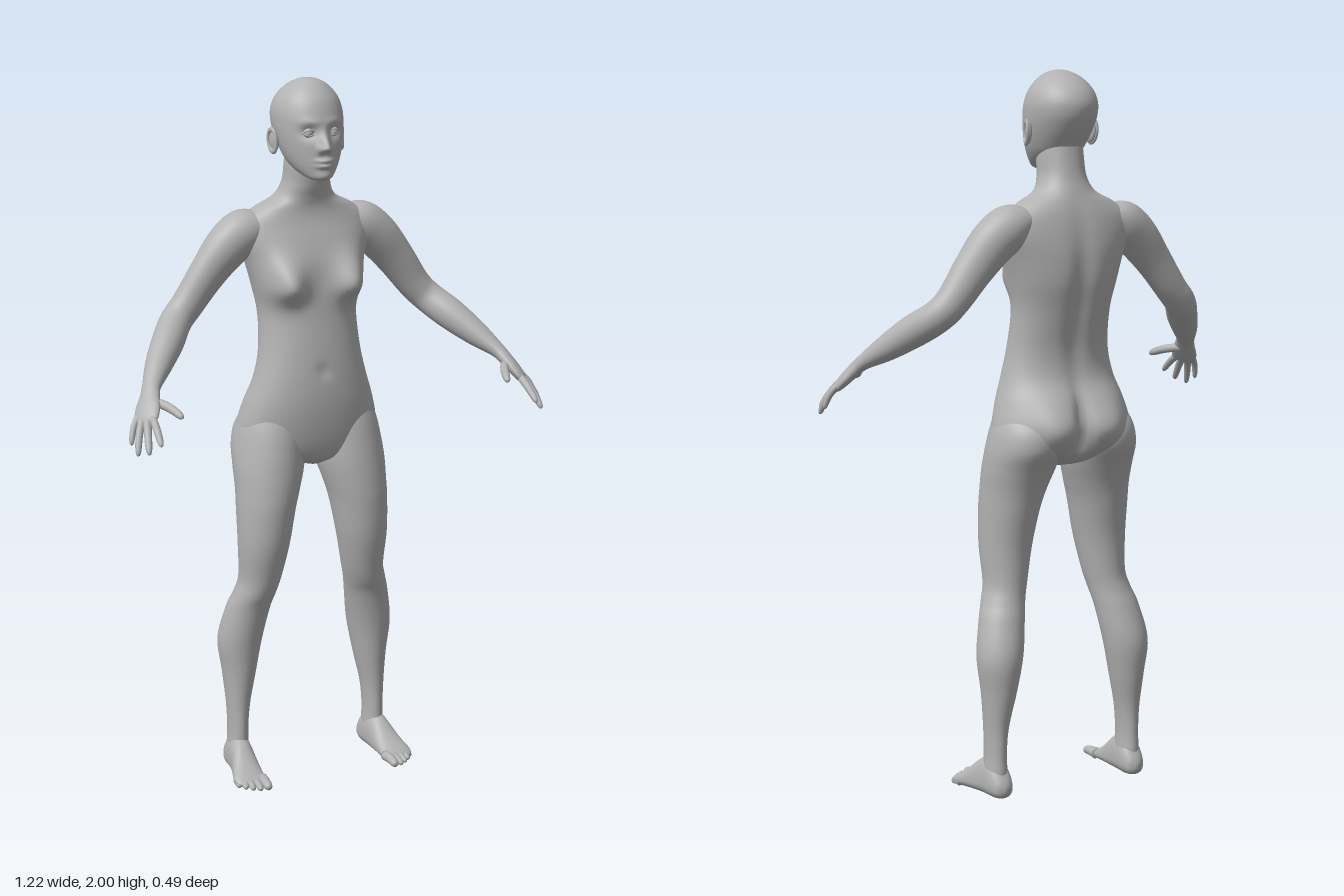
import * as THREE from 'three';

const V = (x, y, z) => new THREE.Vector3(x, y, z);
const skin = new THREE.MeshStandardMaterial({ color: 0xb2b2b2 });
skin.name = 'plain grey';

// Bell curve used for sculpting bumps and hollows
const bell = (d, s) => Math.exp(-(d * d) / (2 * s * s));

// Smooth interpolation through a list of number rows, t in 0..1
function sample(rows, t) {
  const n = rows.length - 1;
  const f = Math.min(Math.max(t, 0), 1) * n;
  const i = Math.min(Math.floor(f), n - 1), u = f - i;
  const at = (k) => rows[Math.min(Math.max(k, 0), n)];
  const [a, b, c, d] = [at(i - 1), at(i), at(i + 1), at(i + 2)];
  return b.map((p, k) => p + 0.5 * u * (c[k] - a[k] + u * (2 * a[k] - 5 * p + 4 * c[k] - d[k]
    + u * (3 * (p - c[k]) + d[k] - a[k]))));
}

// Closed skin over sections [x, y, z, rU, rVplus, rVminus].
// dir fixes the ring plane; otherwise rings follow the path.
function loft(rows, { ref = V(1, 0, 0), dir = null, segs = 32, steps = 48, power = 2, sculpt = null } = {}) {
  const pos = [], index = [], p = V();
  const centre = (t) => V(...sample(rows, t).slice(0, 3));
  const bend = (c) => Math.sign(c) * Math.pow(Math.abs(c), 2 / power);
  for (let i = 0; i <= steps; i++) {
    const t = i / steps, s = sample(rows, t);
    const T = dir ? dir.clone() : centre(t + 0.02).sub(centre(t - 0.02)).normalize();
    const U = ref.clone().addScaledVector(T, -ref.dot(T)).normalize();
    const W = T.clone().cross(U);
    for (let j = 0; j < segs; j++) {
      const a = (j / segs) * Math.PI * 2, sn = bend(Math.sin(a));
      p.set(s[0], s[1], s[2])
        .addScaledVector(U, Math.max(s[3], 0.0005) * bend(Math.cos(a)))
        .addScaledVector(W, Math.max(sn > 0 ? s[4] : s[5], 0.0005) * sn);
      if (sculpt) sculpt(p, s);
      pos.push(p.x, p.y, p.z);
    }
  }
  for (let i = 0; i < steps; i++) {
    for (let j = 0; j < segs; j++) {
      const k = (j + 1) % segs, a = i * segs + j, b = i * segs + k, c = a + segs, d = b + segs;
      index.push(a, b, c, b, d, c);
    }
  }
  // end caps
  for (const [ring, t] of [[0, 0], [steps, 1]]) {
    const m = pos.length / 3, o = ring * segs;
    p.set(...sample(rows, t).slice(0, 3));
    if (sculpt) sculpt(p, sample(rows, t));
    pos.push(p.x, p.y, p.z);
    for (let j = 0; j < segs; j++) {
      const k = (j + 1) % segs;
      index.push(m, ...(ring ? [o + j, o + k] : [o + k, o + j]));
    }
  }
  const g = new THREE.BufferGeometry();
  g.setAttribute('position', new THREE.Float32BufferAttribute(pos, 3));
  g.setIndex(index);
  g.computeVertexNormals();
  return g;
}

// Top-down skin from rows [y, halfWidth, zFront, zBack, xCentre]
const DOWN = V(0, -1, 0);
const slices = (rows, opts) => loft(rows.map(([y, w, f, b, x = 0]) =>
  [x, y, (f + b) / 2, w, (f - b) / 2, (f - b) / 2]), { dir: DOWN, ...opts });

// Finger or toe with a rounded tip
function digit(a, b, c, r) {
  const mid = (u) => a.clone().multiplyScalar((1 - u) ** 2).addScaledVector(b, 2 * u * (1 - u)).addScaledVector(c, u * u);
  const rows = [[0, 1], [0.3, 1], [0.55, 0.95], [0.8, 0.85], [0.93, 0.65], [0.985, 0.32], [1, 0.02]]
    .map(([u, k]) => [...mid(u).toArray(), r * k, r * k, r * k]);
  return loft(rows, { ref: V(0.8, 0.1, -0.5), segs: 14, steps: 24 });
}

function mirrored(geometry) {
  const g = geometry.clone().scale(-1, 1, 1);
  const ix = g.index.array;
  for (let i = 0; i < ix.length; i += 3) [ix[i], ix[i + 1]] = [ix[i + 1], ix[i]];
  g.computeVertexNormals();
  return g;
}

export function createModel() {
  const model = new THREE.Group();
  model.name = 'figure';
  const add = (name, geometry) => {
    const mesh = new THREE.Mesh(geometry, skin);
    mesh.name = name;
    model.add(mesh);
  };
  const pair = (name, geometry) => {
    add('left' + name, geometry);
    add('right' + name, mirrored(geometry));
  };

  // Neck, chest, waist and hips
  add('torso', slices([
    [1.83, 0.058, -0.035, -0.15], [1.77, 0.062, -0.022, -0.158], [1.715, 0.066, -0.03, -0.168],
    [1.675, 0.088, -0.042, -0.182], [1.645, 0.145, -0.046, -0.193], [1.61, 0.188, -0.04, -0.204],
    [1.56, 0.194, -0.022, -0.215], [1.5, 0.174, -0.004, -0.222], [1.43, 0.155, 0.004, -0.219],
    [1.35, 0.142, 0.012, -0.2], [1.25, 0.148, 0.024, -0.178], [1.17, 0.166, 0.03, -0.178],
    [1.1, 0.19, 0.03, -0.2], [1.03, 0.207, 0.022, -0.213], [0.975, 0.2, 0.01, -0.195],
    [0.94, 0.11, -0.005, -0.165], [0.92, 0.03, -0.03, -0.13],
  ], {
    segs: 96, steps: 110, power: 2.15,
    sculpt(p, s) {
      const x = Math.abs(p.x);
      if (p.z > s[2]) {
        // breasts and navel
        p.z += 0.058 * bell(x - 0.1, 0.036) * bell(p.y - 1.44, p.y > 1.44 ? 0.05 : 0.032);
        p.z -= 0.006 * bell(x, 0.012) * bell(p.y - 1.2, 0.014);
      } else {
        // buttocks, cleft and spine groove
        p.z -= 0.042 * bell(x - 0.085, 0.055) * bell(p.y - 1.035, 0.065);
        p.z += 0.03 * bell(x, 0.014) * bell(p.y - 1.0, 0.07);
        p.z += 0.014 * bell(x, 0.022) * bell(p.y - 1.38, 0.14);
      }
    },
  }));

  // Head with sculpted face
  add('head', slices([
    [2.0, 0.002, -0.083, -0.087], [1.996, 0.026, -0.056, -0.114], [1.98, 0.056, -0.028, -0.152],
    [1.95, 0.083, 0.0, -0.188], [1.915, 0.096, 0.016, -0.206], [1.88, 0.097, 0.024, -0.204],
    [1.845, 0.092, 0.029, -0.188], [1.81, 0.083, 0.031, -0.165], [1.78, 0.071, 0.032, -0.14],
    [1.755, 0.054, 0.032, -0.1], [1.738, 0.034, 0.029, -0.045], [1.73, 0.012, 0.018, -0.008],
  ], {
    segs: 128, steps: 120,
    sculpt(p, s) {
      if (p.z < s[2]) return;
      const x = Math.abs(p.x), y = p.y;
      p.z -= 0.013 * bell(x - 0.037, 0.015) * bell(y - 1.862, 0.013); // eye sockets
      p.z += 0.004 * bell(x - 0.035, 0.022) * bell(y - 1.89, 0.008); // brows
      p.z += 0.029 * bell(x, 0.009) * bell(y - 1.822, y > 1.822 ? 0.022 : 0.007); // nose
      p.z += 0.01 * bell(x - 0.014, 0.006) * bell(y - 1.818, 0.008); // nostrils
      p.z += 0.01 * bell(x, 0.016) * (bell(y - 1.787, 0.0045) + bell(y - 1.773, 0.005)); // lips
      p.z += 0.005 * bell(x, 0.018) * bell(y - 1.745, 0.009); // chin
    },
  }));

  // Eyes and eyelids
  pair('Eye', new THREE.SphereGeometry(0.0135, 20, 14).translate(0.037, 1.861, 0.004));
  for (const [name, h] of [['UpperEyelid', 0.008], ['LowerEyelid', -0.006]]) {
    const arc = new THREE.CatmullRomCurve3([V(0.021, 1.859, 0.011), V(0.03, 1.861 + h, 0.0155),
      V(0.042, 1.861 + h, 0.014), V(0.054, 1.861, 0.003)]);
    pair(name, new THREE.TubeGeometry(arc, 16, 0.0025, 8));
  }

  // Ears: a flat bowl with a rolled rim
  const placeEar = (g) => g.rotateX(-0.15).rotateY(-0.3).translate(0.098, 1.833, -0.09);
  pair('Ear', placeEar(new THREE.SphereGeometry(1, 20, 14).scale(0.009, 0.031, 0.018)));
  pair('EarRim', placeEar(new THREE.TorusGeometry(0.02, 0.005, 10, 28)
    .rotateY(Math.PI / 2).scale(1, 1.5, 0.85).translate(0.006, 0, 0)));

  // Arm running into the palm
  pair('Arm', loft([
    [0.115, 1.605, -0.125, 0.05, 0.03], [0.17, 1.585, -0.125, 0.064, 0.062],
    [0.225, 1.545, -0.122, 0.06, 0.063], [0.285, 1.475, -0.12, 0.048, 0.055],
    [0.345, 1.395, -0.118, 0.043, 0.047], [0.386, 1.352, -0.104, 0.044, 0.045],
    [0.43, 1.31, -0.05, 0.044, 0.045], [0.48, 1.262, 0.01, 0.037, 0.036],
    [0.52, 1.222, 0.065, 0.027, 0.022], [0.535, 1.2, 0.09, 0.03, 0.019],
    [0.55, 1.175, 0.115, 0.038, 0.017], [0.562, 1.152, 0.138, 0.036, 0.013],
    [0.568, 1.142, 0.147, 0.024, 0.006],
  ].map((r) => [...r, r[4]]), { ref: V(0.5, -0.1, -0.85), segs: 40, steps: 90 }));

  // Fingers: base, bend, tip, radius
  [
    ['Thumb', [0.53, 1.19, 0.1], [0.495, 1.185, 0.15], [0.484, 1.163, 0.202], 0.0125],
    ['IndexFinger', [0.549, 1.162, 0.145], [0.553, 1.14, 0.195], [0.557, 1.103, 0.238], 0.0105],
    ['MiddleFinger', [0.56, 1.156, 0.138], [0.576, 1.125, 0.185], [0.584, 1.078, 0.218], 0.0108],
    ['RingFinger', [0.569, 1.153, 0.126], [0.594, 1.122, 0.16], [0.602, 1.068, 0.182], 0.0102],
    ['LittleFinger', [0.575, 1.157, 0.11], [0.6, 1.135, 0.128], [0.606, 1.088, 0.142], 0.009],
  ].forEach(([name, a, b, c, r]) => pair(name, digit(V(...a), V(...b), V(...c), r)));

  // Legs
  pair('Leg', slices([
    [1.1, 0.07, -0.01, -0.15, 0.105], [1.04, 0.096, 0.01, -0.212, 0.11], [0.98, 0.102, 0.022, -0.22, 0.118],
    [0.92, 0.1, 0.03, -0.19, 0.125], [0.86, 0.091, 0.035, -0.165, 0.134], [0.8, 0.083, 0.036, -0.15, 0.143],
    [0.7, 0.073, 0.028, -0.132, 0.152], [0.6, 0.061, 0.004, -0.13, 0.16], [0.55, 0.061, -0.01, -0.138, 0.172],
    [0.5, 0.064, -0.028, -0.155, 0.186], [0.4, 0.064, -0.045, -0.18, 0.204], [0.3, 0.048, -0.055, -0.17, 0.208],
    [0.2, 0.033, -0.062, -0.152, 0.214], [0.12, 0.028, -0.062, -0.149, 0.216], [0.06, 0.03, -0.064, -0.15, 0.216],
    [0.03, 0.02, -0.08, -0.13, 0.216],
  ], { segs: 48, steps: 90 }));

  // Feet, flattened on the sole
  pair('Foot', loft([
    [0.215, 0.03, -0.167, 0.005, 0.008, 0.008], [0.215, 0.03, -0.157, 0.025, 0.03, 0.024],
    [0.216, 0.035, -0.13, 0.035, 0.06, 0.035], [0.218, 0.035, -0.09, 0.036, 0.075, 0.035],
    [0.222, 0.03, -0.05, 0.038, 0.065, 0.03], [0.228, 0.025, -0.01, 0.043, 0.037, 0.025],
    [0.233, 0.02, 0.022, 0.046, 0.02, 0.02], [0.233, 0.016, 0.043, 0.041, 0.011, 0.013],
    [0.231, 0.014, 0.053, 0.028, 0.004, 0.005],
  ], { dir: V(0, 0, 1), segs: 40, steps: 50, power: 2.2, sculpt: (p) => { p.y = Math.max(p.y, 0); } }));

  // Toes: x, base z, tip z, radius
  [['BigToe', 0.2, 0.03, 0.097, 0.0145], ['SecondToe', 0.222, 0.035, 0.09, 0.0105],
    ['ThirdToe', 0.24, 0.03, 0.078, 0.01], ['FourthToe', 0.256, 0.022, 0.063, 0.0098],
    ['LittleToe', 0.27, 0.008, 0.045, 0.0098]].forEach(([name, x, z0, z1, r]) =>
    pair(name, digit(V(x - 0.004, r + 0.003, z0), V(x, r + 0.008, (z0 + z1) / 2), V(x, r * 0.8, z1), r)));

  return model;
}
